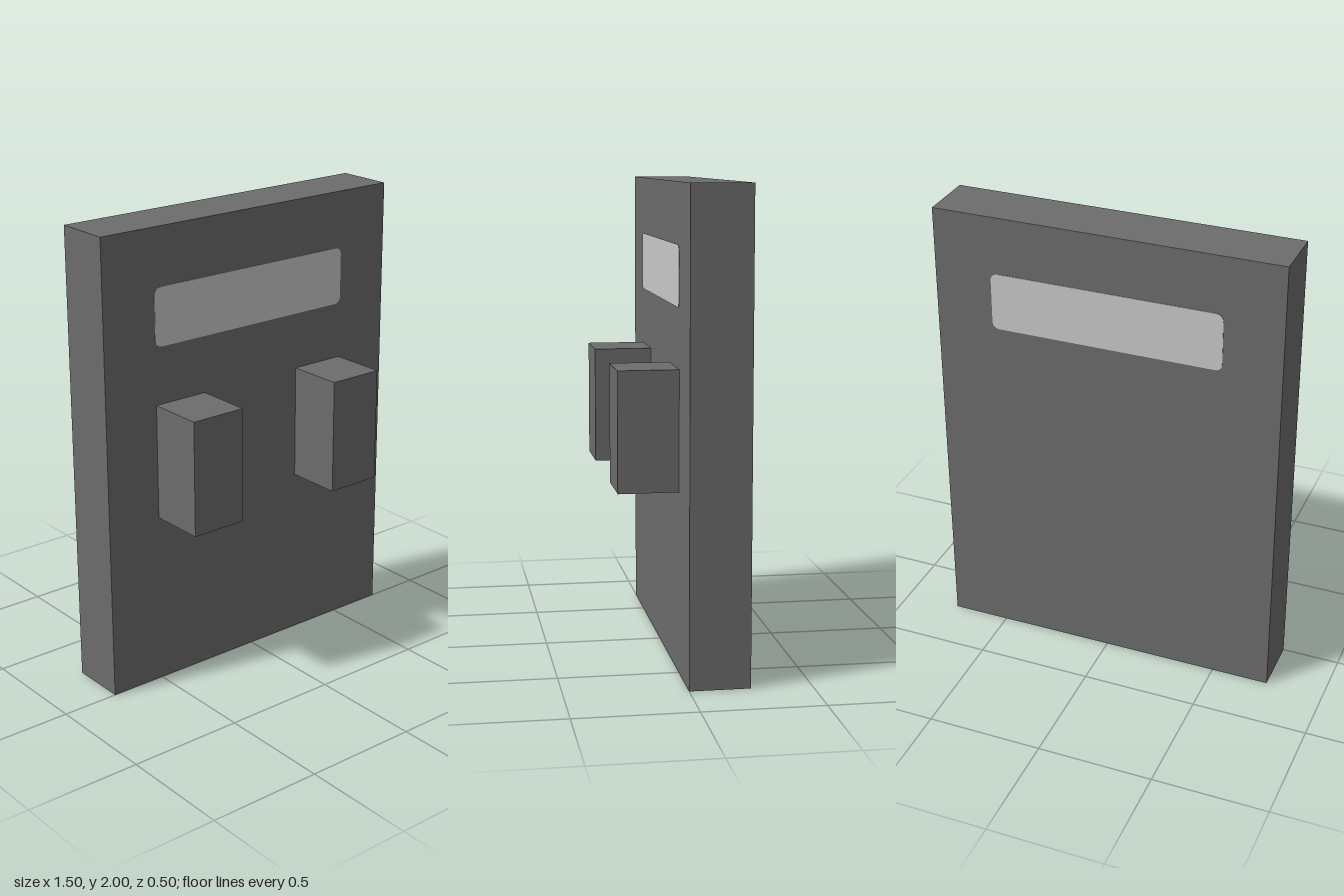
import * as THREE from 'three';

export function createModel() {
  const model = new THREE.Group();
  model.name = 'shield';
  const darkGrey = new THREE.MeshStandardMaterial({ name: 'darkGrey', color: 0x6c6c6c });
  const windowGrey = new THREE.MeshStandardMaterial({ name: 'windowGrey', color: 0xc9c9c9 });

  const add = (name, geometry, material, x, y, z) => {
    const mesh = new THREE.Mesh(geometry, material);
    mesh.name = name;
    mesh.position.set(x, y, z);
    model.add(mesh);
    return mesh;
  };

  // Slab
  add('shieldPlate', new THREE.BoxGeometry(1.5, 2, 0.25), darkGrey, 0, 1, -0.125);

  // Two upright grips on the front
  for (const [name, side] of [['leftGrip', 1], ['rightGrip', -1]]) {
    add(name, new THREE.BoxGeometry(0.25, 0.5, 0.25), darkGrey, side * 0.375, 1.005, 0.125);
  }

  // Viewing window with clipped, rounded corners, seen on both faces
  const w = 0.5, h = 0.125, r = 0.03;
  const outline = new THREE.Shape();
  outline.absarc(w - r, h - r, r, 0, Math.PI / 2);
  outline.absarc(-w + r, h - r, r, Math.PI / 2, Math.PI);
  outline.absarc(-w + r, -h + r, r, Math.PI, Math.PI * 1.5);
  outline.absarc(w - r, -h + r, r, Math.PI * 1.5, Math.PI * 2);
  const pane = new THREE.ExtrudeGeometry(outline, { depth: 0.003, bevelEnabled: false, curveSegments: 3 });
  add('frontWindow', pane, windowGrey, 0, 1.627, -0.001);
  add('backWindow', pane, windowGrey, 0, 1.627, -0.252);

  return model;
}
